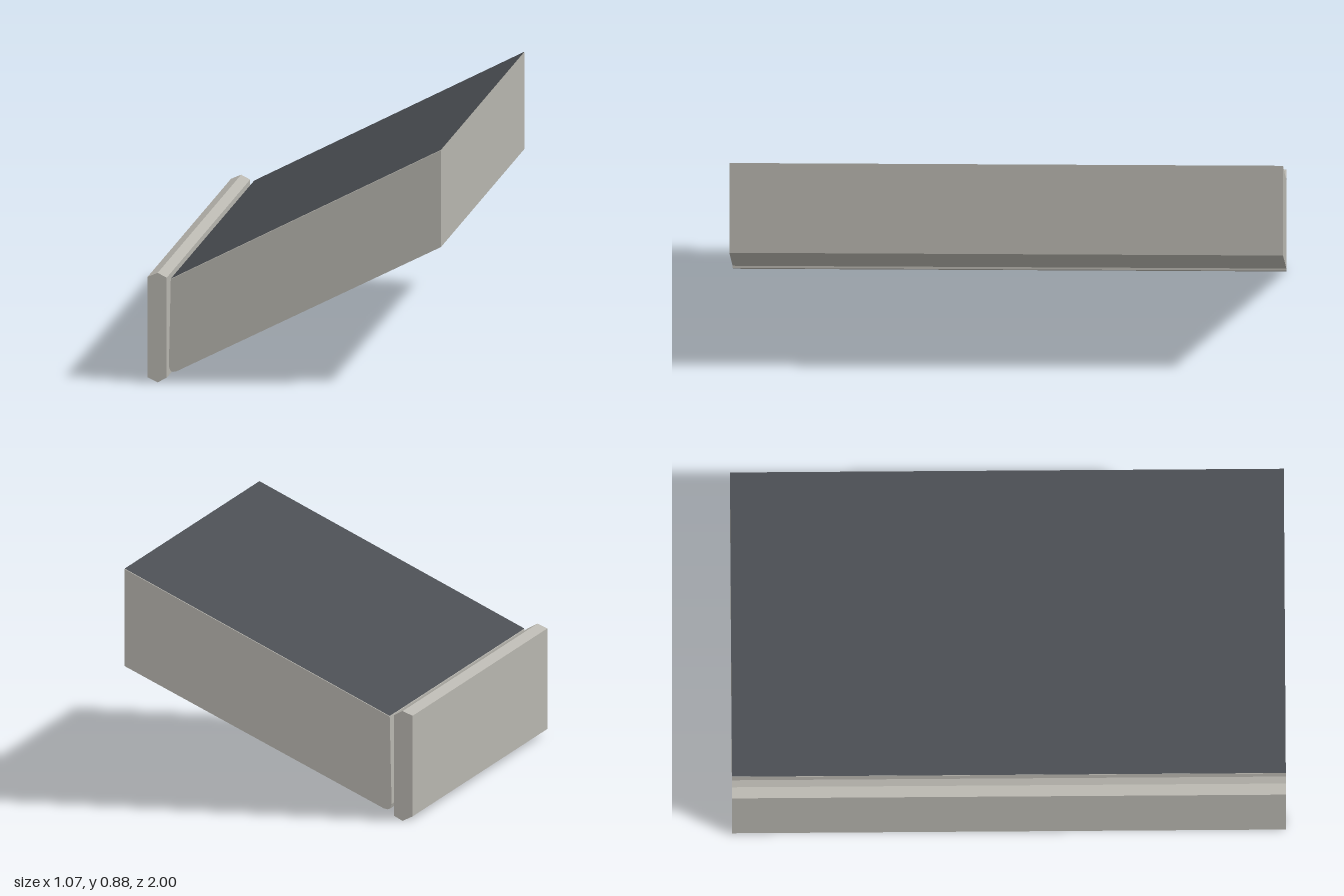
import * as THREE from 'three';

const LENGTH = 2;

// Extrude an x/y cross-section along z, centred on z = 0
function prism(name, points, material) {
  const shape = new THREE.Shape(points.map(([x, y]) => new THREE.Vector2(x, y)));
  const geometry = new THREE.ExtrudeGeometry(shape, { depth: LENGTH, bevelEnabled: false });
  geometry.translate(0, 0, -LENGTH / 2);
  const mesh = new THREE.Mesh(geometry, material);
  mesh.name = name;
  return mesh;
}

export function createModel() {
  const stone = new THREE.MeshStandardMaterial({ name: 'pale stone', color: 0xb8b6af });
  const asphalt = new THREE.MeshStandardMaterial({ name: 'dark asphalt', color: 0x4a4d52 });
  const model = new THREE.Group();
  model.name = 'slopedRamp';

  // Upright kerb with ridged top and bottom
  model.add(prism('kerb', [
    [-0.5, 0], [-0.467, 0.018], [-0.467, 0.385], [-0.5, 0.402],
    [-0.537, 0.386], [-0.537, 0.018],
  ], stone));

  // Sloped slab with a softened lower edge
  const low = [-0.452, 0.38], high = [0.535, 0.88];
  model.add(prism('slab', [
    low, [-0.459, 0.06], [-0.453, 0.043], [-0.445, 0.04], [-0.43, 0.043],
    [0.535, 0.525], high,
  ], stone));

  // Dark surface covering the slope
  const run = high[0] - low[0], rise = high[1] - low[1];
  const surface = new THREE.PlaneGeometry(Math.hypot(run, rise), LENGTH);
  surface.rotateX(-Math.PI / 2);
  surface.rotateZ(Math.atan2(rise, run));
  surface.translate((low[0] + high[0]) / 2, (low[1] + high[1]) / 2 + 0.002, 0);
  const top = new THREE.Mesh(surface, asphalt);
  top.name = 'slopeSurface';
  model.add(top);

  return model;
}
